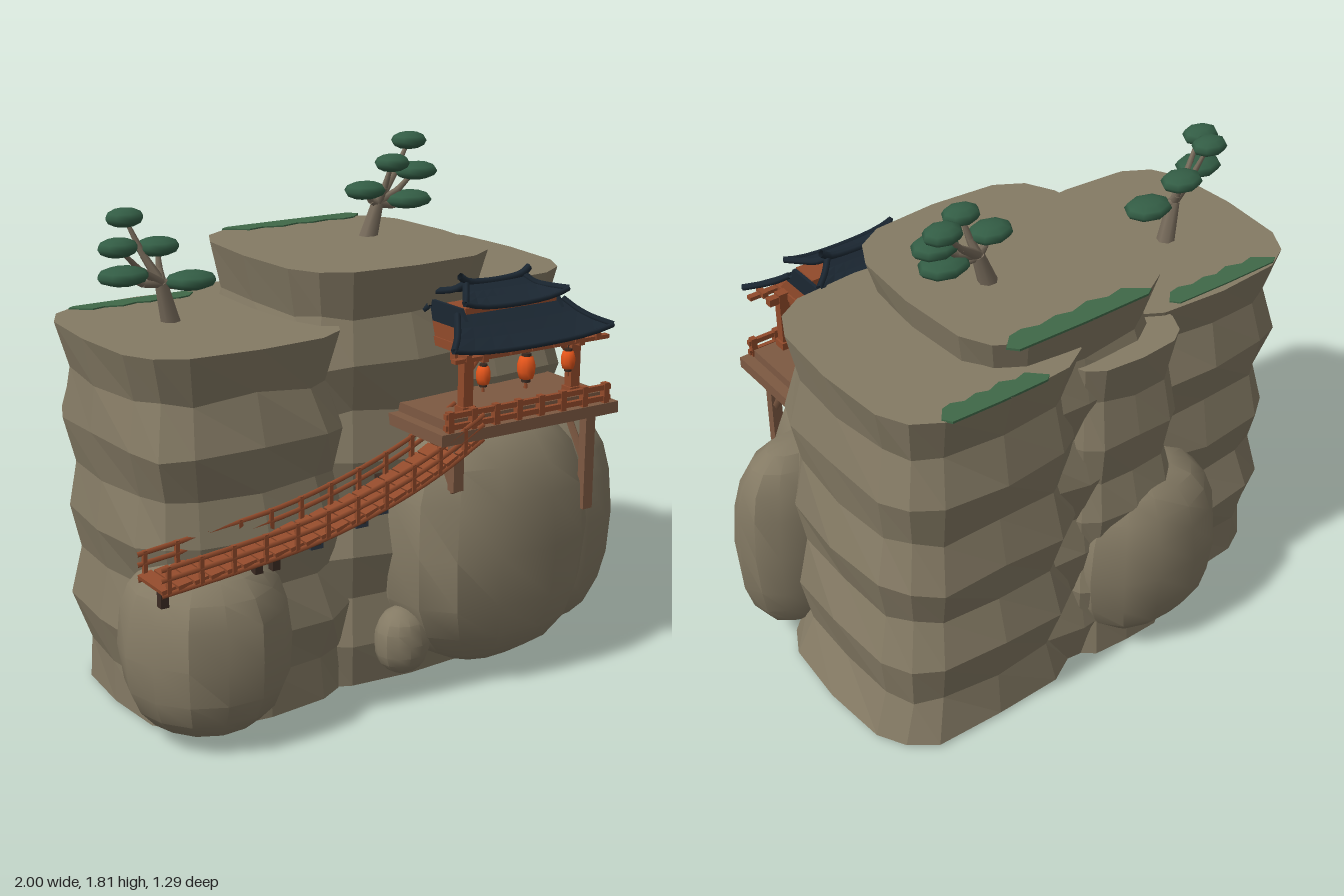
import * as THREE from 'three';
import { mergeVertices, toCreasedNormals } from 'three/addons/utils/BufferGeometryUtils.js';

const mat = (name, color) => {
  const m = new THREE.MeshStandardMaterial({ color });
  m.name = name;
  return m;
};
const V = (x, y, z) => new THREE.Vector3(x, y, z);

export function createModel() {
  const root = new THREE.Group();
  const rock = mat('rock', 0x847a64), moss = mat('moss', 0x3f6848), leaf = mat('foliage', 0x335d45);
  const bark = mat('bark', 0x776b5b), red = mat('redWood', 0x914a2b), brown = mat('brownWood', 0x7d5942);
  const tile = mat('roofTile', 0x1b2732), glow = mat('lanternPaper', 0xe5551b);
  const dark = mat('darkWood', 0x3b2b22), slate = mat('slate', 0x2f3a46);
  tile.side = THREE.DoubleSide;

  let seed = 7;
  const rnd = () => (seed = (seed * 16807) % 2147483647) / 2147483647 - 0.5;

  const add = (name, geo, material, x = 0, y = 0, z = 0, parent = root) => {
    const m = new THREE.Mesh(geo, material);
    m.name = name;
    m.position.set(x, y, z);
    parent.add(m);
    return m;
  };
  const group = (name) => {
    const g = new THREE.Group();
    g.name = name;
    root.add(g);
    return g;
  };
  const box = (name, material, x0, x1, y0, y1, z0, z1, parent) =>
    add(name, new THREE.BoxGeometry(x1 - x0, y1 - y0, z1 - z0), material, (x0 + x1) / 2, (y0 + y1) / 2, (z0 + z1) / 2, parent);
  // tapered round or square bar between two points
  const bar = (name, material, a, b, r0, r1, sides, parent) => {
    const d = b.clone().sub(a), mid = a.clone().add(b).multiplyScalar(0.5);
    const m = add(name, new THREE.CylinderGeometry(r1, r0, d.length(), sides), material, mid.x, mid.y, mid.z, parent);
    m.quaternion.setFromUnitVectors(V(0, 1, 0), d.normalize());
  };
  const mesh = (pos, idx) => {
    let geo = new THREE.BufferGeometry();
    geo.setAttribute('position', new THREE.Float32BufferAttribute(pos, 3));
    geo.setIndex(idx);
    geo = geo.toNonIndexed();
    geo.computeVertexNormals();
    return geo;
  };
  const pw = (v, p) => Math.sign(v) * Math.abs(v) ** p;

  // Cliff columns: rounded-square rings that swell and pinch as layers, drifting sideways towards the base
  function column(name, cx, cz, hx, hz, top, levels, baseX, baseZ, drift) {
    const N = 16, pos = [], idx = [];
    for (let l = 0; l <= levels; l++) {
      const fromTop = levels - l, s = fromTop % 2 ? 0.905 : 1, x = cx + (drift * fromTop) / levels;
      for (let i = 0; i < N; i++) {
        const t = (i / N) * Math.PI * 2, k = fromTop ? 1 + rnd() * 0.05 : 1;
        const y = l ? (top * l) / levels + (fromTop ? rnd() * 0.03 : 0) : 0.01;
        pos.push(x + hx * k * (l ? s : baseX) * pw(Math.cos(t), 0.55), y, cz + hz * k * (l ? s : baseZ) * pw(Math.sin(t), 0.55));
      }
    }
    const bottom = pos.length / 3, cap = bottom + 1, up = levels * N;
    pos.push(cx, 0, cz, cx, top, cz);
    for (let i = 0; i < N; i++) {
      const j = (i + 1) % N;
      for (let l = 0; l < levels; l++) {
        const a = l * N + i, b = l * N + j;
        idx.push(a, a + N, b + N, a, b + N, b);
      }
      idx.push(cap, up + j, up + i, bottom, i, j);
    }
    add(name, mesh(pos, idx), rock);
  }
  column('leftCliff', -0.55, 0.005, 0.41, 0.425, 1.285, 8, 0.92, 0.92, 0.045);
  column('middleCliff', 0.08, -0.06, 0.41, 0.44, 1.47, 9, 0.95, 0.95, 0);
  column('rightCliff', 0.44, -0.115, 0.4, 0.44, 1.36, 8, 1.06, 0.98, 0.04);
  column('rearCliff', -0.1, -0.24, 0.24, 0.3, 1.27, 8, 0.95, 0.95, 0);

  // Ragged moss plates along the rear rims: centre x, y, rear z, half width, depth
  const mossEdge = [[-1, 0.25], [-0.9, 0.04], [0, 0], [0.9, 0.04], [1, 0.4], [0.84, 0.9], [0.66, 1],
    [0.45, 0.8], [0.2, 0.95], [0, 0.78], [-0.25, 1], [-0.5, 0.75], [-0.72, 0.9]];
  for (const [x, y, z, w, d] of [[-0.595, 1.285, -0.395, 0.235, 0.08], [0.11, 1.47, -0.5, 0.285, 0.09], [0.48, 1.36, -0.555, 0.2, 0.085]]) {
    const shape = new THREE.Shape(mossEdge.map(([u, v]) => new THREE.Vector2(u * w, v * d)));
    add('moss', new THREE.ExtrudeGeometry(shape, { depth: 0.008, bevelEnabled: false }).rotateX(Math.PI / 2), moss, x, y + 0.005, z);
  }

  // Boulders: spheres squared off by one power in plan and another in height
  function boulder(name, x, y, z, hx, hy, hz, plan, rise) {
    let g = new THREE.SphereGeometry(1, 14, 10);
    g.deleteAttribute('uv');
    g.deleteAttribute('normal');
    g = mergeVertices(g, 1e-4);
    const a = g.attributes.position;
    for (let i = 0; i < a.count; i++) {
      const t = Math.atan2(a.getZ(i), a.getX(i)), r = Math.hypot(a.getX(i), a.getZ(i)) ** rise * (1 + rnd() * 0.05);
      a.setXYZ(i, r * hx * pw(Math.cos(t), plan), pw(a.getY(i), rise) * hy, r * hz * pw(Math.sin(t), plan));
    }
    add(name, toCreasedNormals(g, 0.5), rock, x, y, z);
  }
  boulder('leftBoulder', -0.715, 0.32, 0.335, 0.285, 0.305, 0.275, 1, 0.75);
  boulder('frontBoulder', 0.37, 0.49, 0.35, 0.393, 0.46, 0.295, 0.85, 0.78);
  boulder('rightBoulder', 0.75, 0.44, 0.28, 0.25, 0.39, 0.155, 1, 0.75);
  boulder('rearBoulder', -0.215, 0.37, -0.4, 0.315, 0.345, 0.245, 0.92, 0.78);
  boulder('smallRockA', 0.015, 0.17, 0.4, 0.1, 0.12, 0.09, 1, 0.9);
  boulder('smallRockB', 0.64, 0.12, 0.36, 0.075, 0.07, 0.07, 1, 0.9);

  // Trees: leaning trunk, one branch to each flat leaf pad [x, y, z, radius]
  const padGeo = new THREE.SphereGeometry(1, 8, 6);
  function tree(name, base, fork, pads) {
    const g = group(name);
    bar('trunk', bark, base, fork, 0.034, 0.022, 7, g);
    for (const [x, y, z, r] of pads) {
      const knee = fork.clone().lerp(V(x, y, z), 0.5).add(V(0, -0.015, 0));
      bar('branch', bark, fork, knee, 0.018, 0.012, 6, g);
      bar('twig', bark, knee, V(x, y, z), 0.012, 0.006, 6, g);
      add('leafPad', padGeo, leaf, x, y, z, g).scale.set(r, 0.032, r * 0.8);
    }
  }
  tree('leftTree', V(-0.61, 1.27, -0.05), V(-0.65, 1.42, -0.04), [[-0.85, 1.575, 0.06, 0.07], [-0.745, 1.635, -0.1, 0.068],
    [-0.82, 1.475, 0.03, 0.09], [-0.635, 1.53, -0.09, 0.08], [-0.55, 1.42, -0.02, 0.092]]);
  tree('rightTree', V(0.21, 1.46, -0.12), V(0.25, 1.58, -0.12), [[0.285, 1.725, -0.08, 0.068], [0.445, 1.775, -0.21, 0.07],
    [0.42, 1.68, -0.13, 0.085], [0.185, 1.635, -0.1, 0.08], [0.375, 1.585, -0.11, 0.092]]);

  // Terrace with supports and front railing
  const deck = group('terrace');
  box('deckFrame', brown, 0, 0.74, 0.925, 0.965, 0.27, 0.635, deck);
  box('deckFloor', brown, 0.04, 0.7, 0.965, 0.998, 0.27, 0.6, deck);
  for (const x of [0.09, 0.645]) {
    box('supportPost', brown, x - 0.02, x + 0.02, x < 0.3 ? 0.75 : 0.585, 0.93, 0.573, 0.607, deck);
    bar('brace', brown, V(x, 0.74, 0.585), V(x, 0.93, 0.46), 0.016, 0.016, 4, deck);
    bar('brace', brown, V(x, 0.82, 0.27), V(x, 0.93, 0.35), 0.016, 0.016, 4, deck);
  }
  for (const y of [0.982, 1.02]) box('rail', red, 0.02, 0.71, y - 0.009, y + 0.009, 0.612, 0.628, deck);
  for (let i = 0; i < 8; i++) {
    const x = 0.04 + i * 0.093;
    box('railPost', red, x - 0.011, x + 0.011, 0.965, 1.035, 0.609, 0.631, deck);
  }

  // Pavilion frame
  const hall = group('pavilion');
  const cx = 0.37, cz = 0.41;
  // upright plate across the hall, outlined in [z, y]
  const endPlate = (name, material, x, outline) => {
    const shape = new THREE.Shape(outline.map(([z, y]) => new THREE.Vector2(-z, y)));
    add(name, new THREE.ExtrudeGeometry(shape, { depth: 0.012, bevelEnabled: false }).rotateY(Math.PI / 2), material, x - 0.006, 0, cz, hall);
  };
  for (const side of [-1, 1]) {
    const x = cx + side * 0.225, xg = cx + side * 0.2;
    box('post', red, x - 0.019, x + 0.019, 0.99, 1.22, 0.543, 0.577, hall);
    box('postFoot', red, x - 0.026, x + 0.026, 0.99, 1.025, 0.536, 0.584, hall);
    bar('bracket', red, V(x, 1.12, 0.56), V(x - side * 0.06, 1.19, 0.56), 0.01, 0.01, 4, hall);
    box('sideBeam', red, xg - 0.012, xg + 0.012, 1.185, 1.215, 0.26, 0.635, hall);
    endPlate('gable', red, xg, [[0.2, 1.2], [-0.16, 1.2], [-0.12, 1.265], [0.14, 1.265]]);
    endPlate('gableTile', tile, xg, [[0.14, 1.265], [-0.12, 1.265], [-0.07, 1.335], [0.09, 1.335]]);
  }
  box('longBeam', red, 0.09, 0.65, 1.185, 1.212, 0.546, 0.574, hall);
  box('ceiling', brown, 0.16, 0.58, 1.2, 1.212, 0.25, 0.61, hall);
  box('upperWall', red, 0.18, 0.56, 1.3, 1.335, 0.4, 0.505, hall);
  box('eaveBeam', red, 0.05, 0.69, 1.193, 1.207, 0.608, 0.632, hall);
  for (let i = 0; i < 7; i++) {
    const x = 0.1 + i * 0.09;
    box('rafterEnd', red, x - 0.01, x + 0.01, 1.197, 1.218, 0.59, 0.637, hall);
  }

  // Roof tier: front and back slopes through rows [y, halfX, halfZ, cornerLift], ends left open
  function roofTier(name, rows) {
    const S = 8;
    for (const side of [1, -1]) {
      const depth = side > 0 ? 1 : 0.75, pos = [], idx = [];
      for (const [y, hx, hz, lift] of rows)
        for (let i = 0; i <= S; i++) {
          const t = (i / S) * 2 - 1;
          pos.push(side * t * hx, y + lift * Math.abs(t) ** 3, side * hz * depth);
        }
      for (let l = 0; l < rows.length - 1; l++)
        for (let i = 0; i < S; i++) {
          const a = l * (S + 1) + i, b = a + S + 1;
          idx.push(a, a + 1, b + 1, a, b + 1, b);
        }
      add(name, mesh(pos, idx), tile, cx, 0, cz, hall);
      // curved ridge along each sloping end
      for (const sx of [-1, 1]) {
        const pts = rows.map(([y, hx, hz, lift]) => V(cx + sx * hx, y + lift, cz + side * hz * depth));
        add(name + 'Edge', new THREE.TubeGeometry(new THREE.CatmullRomCurve3(pts), 8, 0.012, 5), tile, 0, 0, 0, hall);
      }
      // thick eave lip following the lifted corners
      const [y, hx, hz, lift] = rows[0];
      const lip = [-1, -0.7, 0, 0.7, 1].map((t) => V(cx + t * hx, y + lift * Math.abs(t) ** 3, cz + side * hz * depth));
      add(name + 'Eave', new THREE.TubeGeometry(new THREE.CatmullRomCurve3(lip), 10, 0.009, 5), tile, 0, 0, 0, hall);
    }
  }
  roofTier('lowerRoof', [[1.215, 0.33, 0.228, 0.025], [1.25, 0.28, 0.175, 0.012], [1.28, 0.25, 0.135, 0.004], [1.318, 0.22, 0.09, 0]]);
  roofTier('upperRoof', [[1.335, 0.215, 0.128, 0.025], [1.355, 0.17, 0.07, 0.01], [1.372, 0.145, 0.035, 0], [1.395, 0.12, 0, 0]]);
  const ridge = new THREE.CatmullRomCurve3([V(0.225, 1.42, cz), V(0.26, 1.398, cz), V(0.48, 1.398, cz), V(0.515, 1.42, cz)]);
  add('roofRidge', new THREE.TubeGeometry(ridge, 14, 0.013, 6), tile, 0, 0, 0, hall);

  // Lanterns
  const bulb = [[0.008, -0.042], [0.024, -0.036], [0.031, -0.012], [0.031, 0.012], [0.024, 0.036], [0.008, 0.042]];
  const lanternGeo = new THREE.LatheGeometry(bulb.map(([r, y]) => new THREE.Vector2(r, y)), 10);
  for (const [x, s] of [[0.19, 0.8], [0.367, 1], [0.545, 0.8]]) {
    const g = group('lantern');
    g.position.set(x, 1.13, 0.595);
    g.scale.setScalar(s);
    add('paper', lanternGeo, glow, 0, 0, 0, g);
    for (const y of [-0.043, 0.043]) add('cap', new THREE.CylinderGeometry(0.016, 0.016, 0.012, 8), dark, 0, y, 0, g);
    add('cord', new THREE.CylinderGeometry(0.003, 0.003, 0.04, 5), dark, 0, 0.065, 0, g);
    add('tassel', new THREE.CylinderGeometry(0.004, 0.007, 0.025, 5), red, 0, -0.058, 0, g);
  }

  // Sagging plank bridge with handrails
  const bridge = group('bridge');
  const path = [[-0.96, 0.59, 0.43], [-0.7, 0.635, 0.47], [-0.45, 0.685, 0.505], [-0.2, 0.765, 0.535], [0, 0.845, 0.545], [0.17, 0.935, 0.55]].map((p) => V(...p));
  const curve = new THREE.CatmullRomCurve3(path);
  const planks = 22;
  for (let i = 0; i < planks; i++) {
    const u = (i + 0.45) / planks, p = curve.getPointAt(u), d = curve.getTangentAt(u);
    const m = add('plank', new THREE.BoxGeometry(0.049, 0.014, 0.165), red, p.x, p.y, p.z, bridge);
    m.rotation.z = Math.atan2(d.y, d.x);
    if (i % 2 === 0) for (const s of [-0.08, 0.08])
      box('railPost', red, p.x - 0.007, p.x + 0.007, p.y - 0.015, p.y + 0.08, p.z + s - 0.007, p.z + s + 0.007, bridge);
  }
  for (const s of [-0.08, 0.08]) for (const h of [-0.012, 0.038, 0.073]) {
    const line = new THREE.CatmullRomCurve3(path.map((p) => V(p.x, p.y + h, p.z + s)));
    add(h < 0 ? 'stringer' : 'handrail', new THREE.TubeGeometry(line, 24, 0.009, 4), red, 0, 0, 0, bridge);
  }
  // props under the bridge [x, bottom, top, z, hasFooting]
  for (const [x, y0, y1, z, foot] of [[-0.93, 0.52, 0.585, 0.46], [-0.77, 0.57, 0.62, 0.46], [-0.615, 0.58, 0.645, 0.5], [-0.54, 0.57, 0.66, 0.48],
    [-0.355, 0.6, 0.7, 0.43, 1], [-0.18, 0.64, 0.765, 0.43, 1], [-0.1, 0.67, 0.795, 0.43, 1]]) {
    box('prop', dark, x - 0.014, x + 0.014, y0, y1, z - 0.014, z + 0.014, bridge);
    if (foot) box('footing', slate, x - 0.024, x + 0.024, y0 - 0.012, y0 + 0.022, z - 0.04, z + 0.014, bridge);
  }
  return root;
}
